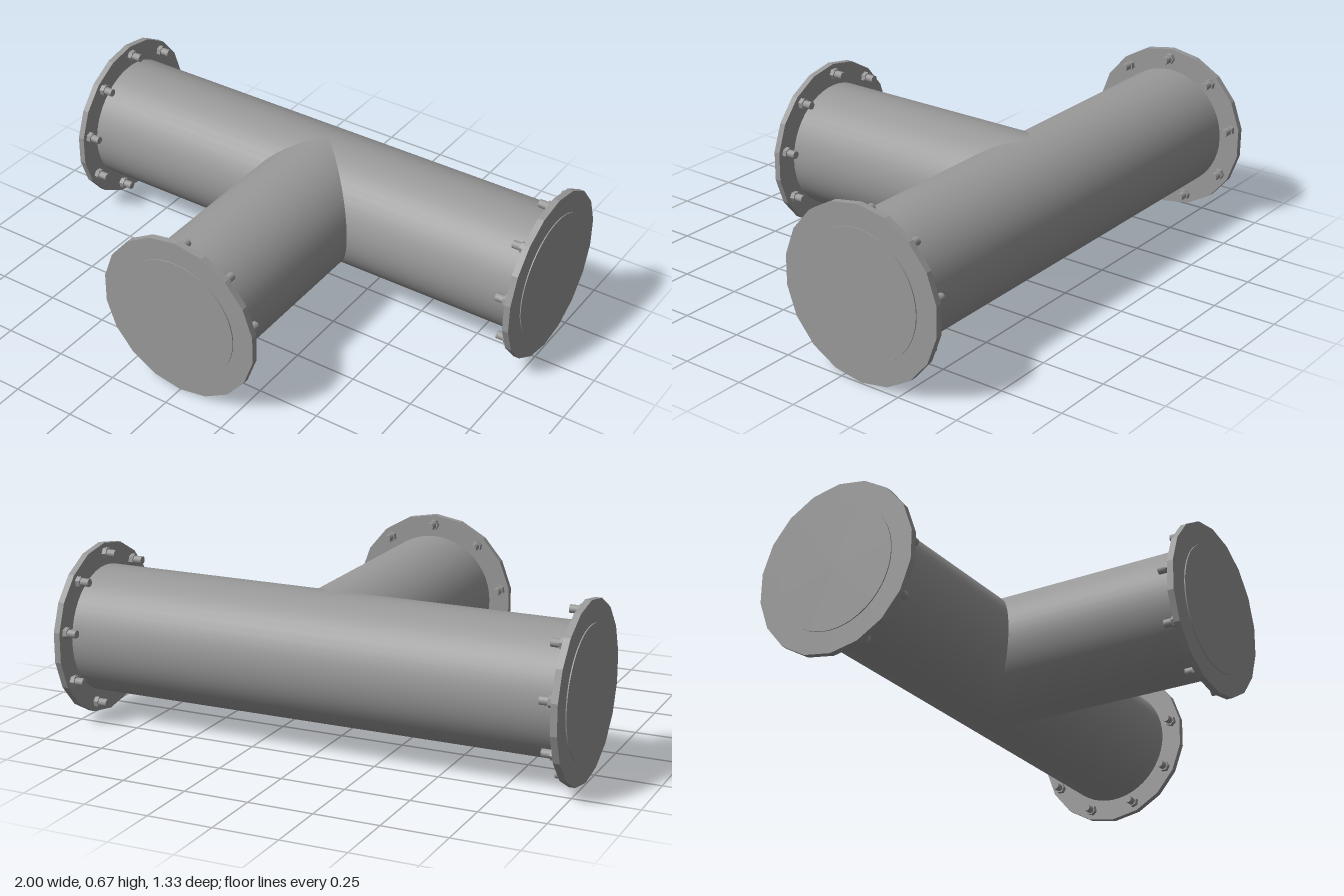
import * as THREE from 'three';

const PIPE_R = 0.247, FLANGE_R = 0.335, BOLT_CIRCLE = 0.296;
const CENTRE_Y = 0.335, AXIS_Z = -0.335;
const FLANGE_T = 0.025, PIPE_SIDES = 48;

const GREY = 0x999999;
const smooth = new THREE.MeshStandardMaterial({ color: GREY });
const flat = new THREE.MeshStandardMaterial({ color: GREY, flatShading: true });
const shell = new THREE.MeshStandardMaterial({ color: GREY, side: THREE.DoubleSide });

function addMesh(parent, name, geometry, material) {
  const mesh = new THREE.Mesh(geometry, material);
  mesh.name = name;
  parent.add(mesh);
  return mesh;
}

// Cylinder lying along z, from z0 to z1, with a corner at the top
function rod(radius, z0, z1, sides, open = false) {
  const g = new THREE.CylinderGeometry(radius, radius, z1 - z0, sides, 1, open);
  g.rotateX(Math.PI / 2);
  g.translate(0, 0, (z0 + z1) / 2);
  // the seam corner must point to +y
  if (g.attributes.position.getY(0) < 0) g.rotateZ(Math.PI);
  return g;
}

// Blind flange with its bolts; outer face at z = 0, facing +z
function createFlange(name) {
  const flange = new THREE.Group();
  flange.name = name;
  addMesh(flange, 'flangePlate', rod(FLANGE_R, -FLANGE_T, 0, 18), flat);
  // Closed pipe end, standing slightly proud of the plate
  addMesh(flange, 'pipeEnd', rod(PIPE_R, -FLANGE_T / 2, 0.004, PIPE_SIDES), smooth);
  const nutGeometry = rod(0.022, -FLANGE_T - 0.018, -FLANGE_T, 6);
  const studGeometry = rod(0.0155, -FLANGE_T - 0.052, -FLANGE_T, 12);
  for (let i = 0; i < 9; i++) {
    const a = Math.PI / 2 + (i * Math.PI * 2) / 9;
    const bolt = new THREE.Group();
    bolt.name = 'bolt';
    bolt.position.set(Math.cos(a) * BOLT_CIRCLE, Math.sin(a) * BOLT_CIRCLE, 0);
    bolt.rotation.z = a;
    addMesh(bolt, 'nut', nutGeometry, flat);
    addMesh(bolt, 'stud', studGeometry, smooth);
    flange.add(bolt);
  }
  return flange;
}

export function createModel() {
  const model = new THREE.Group();
  model.name = 'pipeTee';

  // Main run along x
  const main = addMesh(model, 'mainPipe', rod(PIPE_R, -0.98, 0.98, PIPE_SIDES, true), shell);
  main.rotation.y = Math.PI / 2;
  main.position.set(0, CENTRE_Y, AXIS_Z);

  // Branch towards the front, its inner end mitred onto the main run
  const branchGeometry = rod(PIPE_R, 0, 0.98, PIPE_SIDES, true);
  const p = branchGeometry.attributes.position;
  for (let i = 0; i < p.count; i++) {
    if (p.getZ(i) < 0.1) p.setZ(i, Math.abs(p.getX(i)));
  }
  const branch = addMesh(model, 'branchPipe', branchGeometry, shell);
  branch.position.set(0, CENTRE_Y, AXIS_Z);

  // Flanges on the three ends
  for (const side of [-1, 1]) {
    const end = createFlange(side > 0 ? 'leftFlange' : 'rightFlange');
    end.rotation.y = (side * Math.PI) / 2;
    end.position.set(side * 0.996, CENTRE_Y, AXIS_Z);
    model.add(end);
  }
  const front = createFlange('branchFlange');
  front.position.set(0, CENTRE_Y, 0.66);
  model.add(front);

  return model;
}
